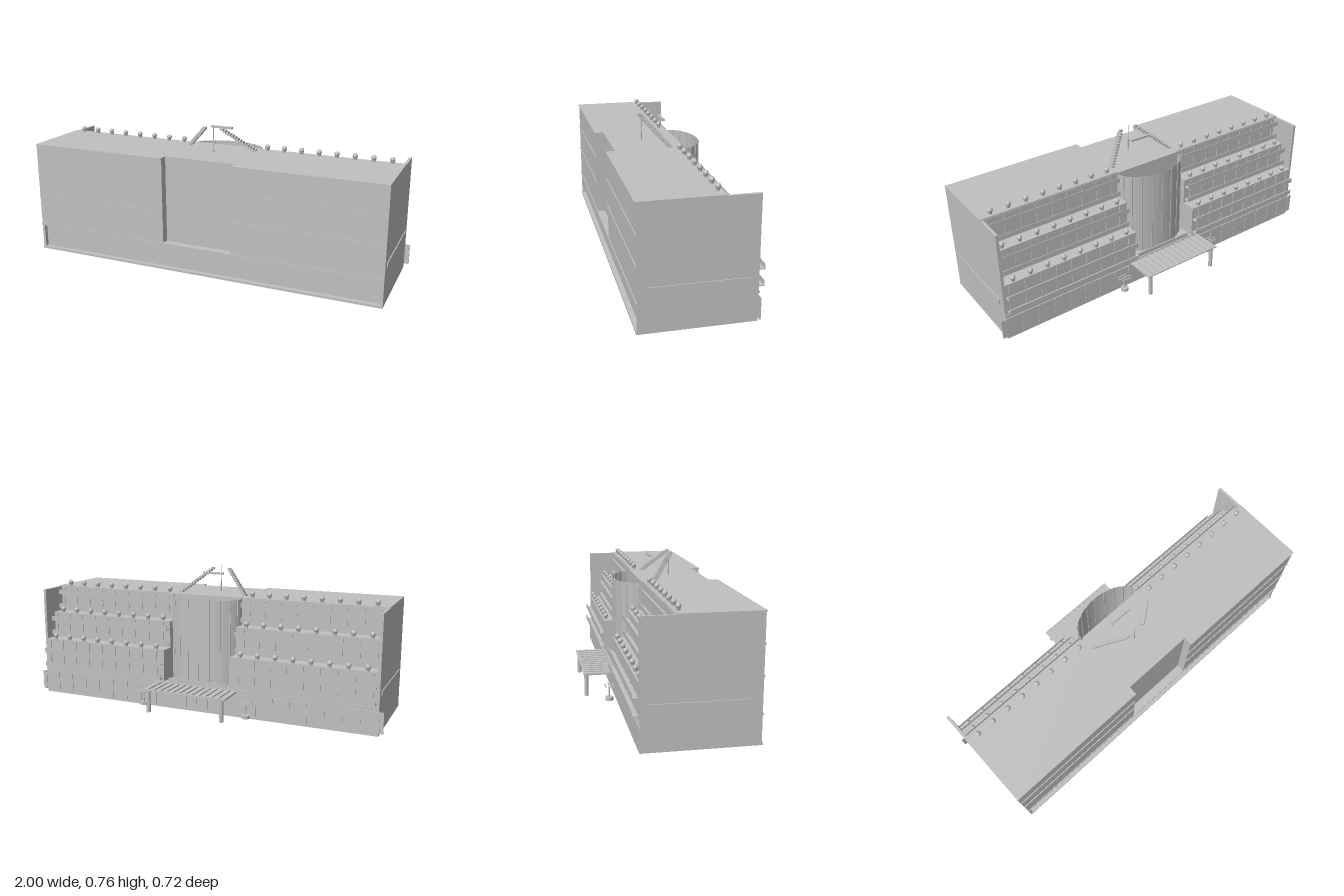
import * as THREE from 'three';

export function createModel() {
  const model = new THREE.Group();
  const grey = new THREE.MeshStandardMaterial({ color: 0xc0c0c0 });
  grey.name = 'concreteGrey';
  grey.side = THREE.DoubleSide;

  const add = (name, geometry, x = 0, y = 0, z = 0) => {
    const mesh = new THREE.Mesh(geometry, grey);
    mesh.name = name;
    mesh.position.set(x, y, z);
    model.add(mesh);
    return mesh;
  };
  // Box given by its limits on each axis
  const box = (name, x0, x1, y0, y1, z0, z1) =>
    add(name, new THREE.BoxGeometry(x1 - x0, y1 - y0, z1 - z0),
      (x0 + x1) / 2, (y0 + y1) / 2, (z0 + z1) / 2);
  // The same box on both sides of the building
  const pair = (name, x0, x1, y0, y1, z0, z1) => {
    box(name, x0, x1, y0, y1, z0, z1);
    box(name, -x1, -x0, y0, y1, z0, z1);
  };

  // Ground floor, set back a little at the front
  box('groundFloor', -0.96, 0.96, 0.012, 0.145, -0.195, 0.335);
  box('floorSlab', -0.975, 0.975, 0, 0.012, -0.195, 0.36);
  box('frontLedge', -0.975, 0.975, 0.14, 0.149, 0.33, 0.36);

  // End walls and their long side strips
  pair('endWall', 0.96, 0.975, 0, 0.607, -0.195, 0.355);
  pair('sideStrip', 0.975, 0.98, 0.195, 0.221, -0.155, 0.315);

  // Central block behind the front recess
  box('centralBlock', -0.195, 0.195, 0.145, 0.605, -0.05, 0.312);
  box('centralRoof', -0.195, 0.195, 0.605, 0.612, -0.05, 0.312);
  pair('wingRoof', 0.195, 0.96, 0.605, 0.612, -0.04, 0.36);
  pair('roofEdge', 0.96, 0.975, 0.607, 0.612, -0.04, 0.36);

  // Front string courses
  for (const y of [0.315, 0.46]) pair('stringCourse', 0.195, 0.975, y, y + 0.009, 0.35, 0.36);

  // Stepped terraces on both wings
  const tiers = [
    { y0: 0.145, y1: 0.32, back: -0.195, bushZ: -0.184 },
    { y0: 0.32, y1: 0.465, back: -0.118, bushZ: -0.102 },
    { y0: 0.465, y1: 0.605, back: -0.037, bushZ: -0.016 },
  ];
  const bushGeometry = new THREE.SphereGeometry(0.014, 12, 8);
  const potGeometry = new THREE.CylinderGeometry(0.011, 0.009, 0.014, 8);
  for (const { y0, y1, back, bushZ } of tiers) {
    pair('wingTier', 0.195, 0.96, y0, y1, back, 0.355);
    pair('terraceEdge', 0.195, 0.96, y1 - 0.006, y1 + 0.002, back - 0.006, back);
    // Two balconies with rails on each tier
    for (const dy of [0.017, 0.098]) {
      pair('balconySlab', 0.2, 0.96, y0 + dy, y0 + dy + 0.005, back - 0.032, back);
      pair('balconyRail', 0.2, 0.96, y0 + dy, y0 + dy + 0.027, back - 0.032, back - 0.029);
    }
    // Upright window frames
    for (let i = 0; i < 9; i++) {
      const x = 0.24 + i * 0.0875;
      pair('windowFrame', x - 0.003, x + 0.003, y0 + 0.022, y0 + 0.08, back - 0.005, back);
      pair('windowFrame', x - 0.003, x + 0.003, y0 + 0.103, y1 - 0.008, back - 0.005, back);
    }
    // Row of potted bushes
    const floor = y1 > 0.6 ? 0.612 : y1;
    for (let i = 0; i < 8; i++) for (const side of [-1, 1]) {
      const x = side * (0.247 + i * 0.0946);
      add('bushPot', potGeometry, x, floor + 0.007, bushZ);
      add('bush', bushGeometry, x, floor + 0.02, bushZ);
    }
  }

  // Curved central bay, open at the top
  const bay = add('curvedBay', new THREE.CylinderGeometry(0.2, 0.2, 0.46, 24, 1, true,
    Math.PI / 2, Math.PI), 0, 0.375, -0.05);
  bay.scale.z = 0.61;
  for (let i = 1; i < 10; i++) {
    const a = (i / 10) * Math.PI;
    add('bayRib', new THREE.BoxGeometry(0.006, 0.46, 0.006),
      0.2 * Math.cos(a), 0.375, -0.05 - 0.122 * Math.sin(a));
  }
  box('bayParapet', -0.17, 0.17, 0.145, 0.168, -0.19, -0.184);

  // Rear cladding of the ground floor, with a doorway
  pair('rearCladding', 0.06, 1, 0.017, 0.125, -0.2, -0.195);
  box('doorHead', -0.06, 0.06, 0.1, 0.125, -0.2, -0.195);
  box('doorDivider', -0.003, 0.003, 0.012, 0.1, -0.199, -0.195);
  box('rearLedge', -0.975, 0.975, 0.137, 0.147, -0.2, -0.195);
  for (let i = 0; i < 11; i++) {
    const x = 0.063 + i * 0.0915;
    pair('claddingJoint', x - 0.003, x + 0.003, 0.017, 0.125, -0.203, -0.2);
  }

  // Entrance canopy with slats and posts
  box('canopyPanel', -0.23, 0.23, 0.13, 0.136, -0.355, -0.195);
  for (let i = 0; i < 13; i++) {
    const x = -0.222 + i * 0.037;
    box('canopySlat', x - 0.012, x + 0.012, 0.136, 0.142, -0.355, -0.2);
  }
  box('canopyBeam', -0.235, 0.235, 0.136, 0.142, -0.362, -0.352);
  for (const x of [-0.21, 0.21])
    add('canopyPost', new THREE.CylinderGeometry(0.011, 0.011, 0.115, 12), x, 0.0725, -0.346);

  // Pedestals with crossbars beside the canopy
  for (const x of [-0.3, 0.3]) {
    add('pedestalBase', new THREE.CylinderGeometry(0.021, 0.021, 0.017, 16), x, 0.0235, -0.237);
    add('pedestalPole', new THREE.CylinderGeometry(0.004, 0.004, 0.065, 8), x, 0.0625, -0.237);
    box('crossbar', x - 0.037, x + 0.037, 0.09, 0.095, -0.24, -0.234);
    for (const z of [-0.256, -0.218]) box('sideBar', x - 0.027, x + 0.027, 0.091, 0.095, z - 0.003, z + 0.003);
  }

  // Roof steps rising towards the mast
  const steps = 14;
  for (let i = 0; i < steps; i++) {
    const t = i / (steps - 1);
    const x = 0.188 - 0.138 * t, y = 0.616 + 0.123 * t, z = 0.022 + 0.113 * t;
    const depth = i === steps - 1 ? 0.008 : 0.0125;
    pair('roofStep', x - 0.009, x + 0.009, y - 0.006, y + 0.006, z - depth, z + depth);
  }
  box('raisedBar', -0.06, 0.06, 0.72, 0.731, 0.018, 0.034);
  add('mast', new THREE.CylinderGeometry(0.0012, 0.004, 0.146, 8), 0, 0.685, 0.135);

  return model;
}
